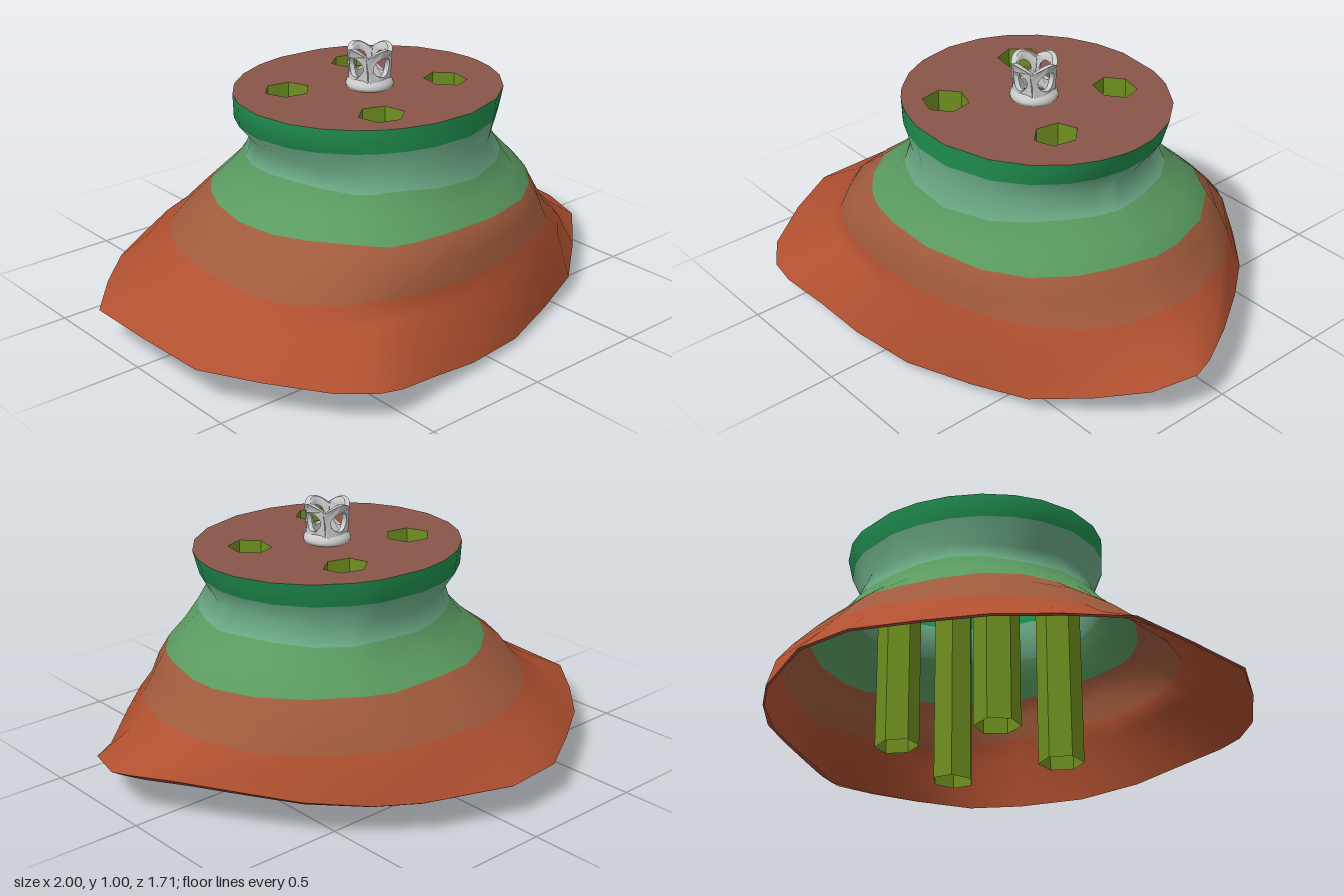
import * as THREE from 'three';
import { toCreasedNormals } from 'three/addons/utils/BufferGeometryUtils.js';

const CX = 0.045, CZ = 0.05;

// Uneven outer edge of the skirt: x, z, y
const RIM = [
  [-0.03, -0.86, 0.14], [-0.27, -0.84, 0.14], [-0.48, -0.72, 0.14], [-0.68, -0.59, 0.14],
  [-0.85, -0.42, 0.14], [-1, -0.24, 0.14], [-1, 0.05, 0.14], [-0.99, 0.35, 0.14],
  [-0.87, 0.56, 0.135], [-0.72, 0.76, 0.125], [-0.6, 0.84, 0.115], [-0.5, 0.85, 0.1],
  [-0.33, 0.82, 0.07], [-0.12, 0.8, 0.04], [0.14, 0.76, 0.03], [0.4, 0.67, 0.04],
  [0.62, 0.59, 0.065], [0.8, 0.45, 0.105], [0.95, 0.31, 0.15], [1, 0.14, 0.165],
  [0.98, 0.06, 0.175], [0.9, -0.1, 0.185], [0.77, -0.3, 0.175], [0.63, -0.48, 0.155],
  [0.45, -0.64, 0.14], [0.3, -0.74, 0.14],
];

// Section levels: y, min x, max x, max z, min z, limit as a share of the rim
// radius, squareness of the bulging corners (front at -x, back at +x)
const LEVELS = [
  [0.24, -0.84, 0.88, 0.71, -0.76, 0.96, 2.6, 2],
  [0.31, -0.73, 0.8, 0.685, -0.69, 0.93, 2.8, 2],
  [0.40, -0.66, 0.73, 0.68, -0.60, 0.89, 2.7, 2.2],
  [0.47, -0.57, 0.69, 0.64, -0.53, 0.87, 2.3, 2.3],
  [0.54, -0.49, 0.62, 0.58, -0.45, 0.84, 2.1, 2.3],
  [0.61, -0.43, 0.54, 0.555, -0.40, 0.8, 2, 2.1],
  [0.68, -0.41, 0.49, 0.525, -0.38, 0.78, 2, 2],
  [0.76, -0.48, 0.54, 0.53, -0.42, 0.8, 2, 2],
  [0.85, -0.48, 0.57, 0.535, -0.43, 0.8, 2, 2],
];

// Hanging tubes: x, z, radius in x, radius in z, bottom y, turn
const TUBES = [
  [-0.225, -0.1, 0.088, 0.085, 0.015, 0.2], [0.19, -0.21, 0.09, 0.076, 0.02, 0.3],
  [0.31, 0.19, 0.077, 0.088, 0.01, -0.3], [-0.14, 0.33, 0.088, 0.086, 0.005, 0.35],
];

const mat = (color, extra = {}) => new THREE.MeshStandardMaterial({ color, side: THREE.DoubleSide, ...extra });

function add(group, name, geometry, material) {
  const mesh = new THREE.Mesh(geometry, material);
  mesh.name = name;
  group.add(mesh);
  return mesh;
}

// One closed ring of points for a level
function section([y, x0, x1, z1, z0, limit, frontCorner, backCorner], j) {
  return RIM.map(([rx, rz], i) => {
    const dx = rx - CX, dz = rz - CZ, R = Math.hypot(dx, dz);
    const c = dx / R, s = dz / R;
    const ax = c < 0 ? CX - x0 : x1 - CX, az = s < 0 ? CZ - z0 : z1 - CZ;
    let p = 2;
    if (c < 0 && s > 0) p = frontCorner;
    if (c > 0 && s < 0) p = backCorner;
    const curve = Math.pow(Math.abs(c / ax) ** p + Math.abs(s / az) ** p, -1 / p);
    const r = Math.min(curve, R * limit);
    const lift = j < 7 ? 0.008 * Math.sin(i * 1.3 + j) : 0;
    return [CX + c * r, y + lift, CZ + s * r];
  });
}

// Hem folded in under the raised part of the rim
function hemPoint([x, z, y]) {
  const rise = Math.max(0, y - 0.135), k = 1 - 1.8 * rise;
  return [CX + (x - CX) * k, y - rise, CZ + (z - CZ) * k];
}

function hexagon([x, z, rx, rz, , turn]) {
  return Array.from({ length: 6 }, (_, k) => {
    const a = turn + k * Math.PI / 3;
    return [x + rx * Math.cos(a), z + rz * Math.sin(a)];
  });
}

// Index of the wall between rings of equal length
function band(n, from, to) {
  const index = [];
  for (let j = from; j < to; j++) {
    for (let i = 0; i < n; i++) {
      const k = (i + 1) % n, a = j * n + i, b = j * n + k;
      index.push(a, b, b + n, a, b + n, a + n);
    }
  }
  return index;
}

// Quarter of the hollow fitting: a plate with a round eye, bent round an axis
function fittingPanel() {
  const R = 0.07, half = R * Math.PI / 4, shape = new THREE.Shape();
  const pts = [];
  for (let i = 0; i <= 8; i++) pts.push(new THREE.Vector2(-half + i * half / 4, 0));
  for (let v = 1; v < 6; v++) pts.push(new THREE.Vector2(half, v * 0.02));
  for (let i = 16; i >= 0; i--) {
    const u = i / 8 - 1;
    pts.push(new THREE.Vector2(u * half, 0.125 + 0.029 * Math.cos(u * Math.PI / 2)));
  }
  for (let v = 5; v > 0; v--) pts.push(new THREE.Vector2(-half, v * 0.02));
  shape.setFromPoints(pts);
  shape.holes.push(new THREE.Path().absarc(0, 0.085, 0.037, 0, Math.PI * 2, true));
  const geo = new THREE.ExtrudeGeometry(shape, { depth: 0.018, bevelEnabled: false, curveSegments: 16 });
  const p = geo.attributes.position;
  for (let i = 0; i < p.count; i++) {
    const a = p.getX(i) / R, y = p.getY(i);
    const flare = 0.013 * Math.pow(Math.abs(y - 0.06) / 0.08, 1.5);
    const r = 0.056 + flare + p.getZ(i);
    p.setXYZ(i, r * Math.sin(a), y, r * Math.cos(a));
  }
  geo.computeVertexNormals();
  return toCreasedNormals(geo, 0.7);
}

export function createModel() {
  const model = new THREE.Group();
  model.name = 'flaredBase';

  // Flared skirt and collar share one smooth surface, coloured in bands
  const rings = [RIM.map(([x, z, y]) => [x, y, z]), ...LEVELS.map(section)];
  const n = RIM.length, wall = new THREE.BufferGeometry();
  wall.setAttribute('position', new THREE.Float32BufferAttribute(rings.flat(2), 3));
  wall.setIndex(band(n, 0, rings.length - 1));
  wall.computeVertexNormals();
  const bands = [
    ['skirtRim', 0, 2, 0xb05030], ['skirtSide', 2, 4, 0xa05a3c],
    ['shoulder', 4, 6, 0x5a9a60], ['neck', 6, 8, 0x6aa884], ['collar', 8, 9, 0x209050],
  ];
  for (const [name, from, to, color] of bands) {
    const part = wall.clone();
    part.setIndex(band(n, from, to));
    add(model, name, part, mat(color));
  }

  // Folded hem
  const hem = new THREE.BufferGeometry();
  const hemRings = [RIM.map(hemPoint), rings[0]];
  hem.setAttribute('position', new THREE.Float32BufferAttribute(hemRings.flat(2), 3));
  hem.setIndex(band(n, 0, 1));
  hem.computeVertexNormals();
  add(model, 'skirtHem', hem, mat(0x9a4a38));

  // Top plate with a hole over each tube
  const toVec = ([x, z]) => new THREE.Vector2(x, -z);
  const plate = new THREE.Shape(rings[rings.length - 1].map(([x, , z]) => toVec([x, z])));
  for (const tube of TUBES) plate.holes.push(new THREE.Path(hexagon(tube).map(toVec)));
  const plateGeo = new THREE.ShapeGeometry(plate).rotateX(-Math.PI / 2).translate(0, 0.85, 0);
  add(model, 'topPlate', plateGeo, mat(0x8a5548));

  // Open six-sided tubes hanging from the plate
  const tubeMat = mat(0x6f9020, { flatShading: true });
  for (const tube of TUBES) {
    const hex = hexagon(tube).reverse();
    const geo = new THREE.BufferGeometry();
    const pos = [tube[4], 0.85].flatMap(y => hex.flatMap(([x, z]) => [x, y, z]));
    geo.setAttribute('position', new THREE.Float32BufferAttribute(pos, 3));
    geo.setIndex(band(6, 0, 1));
    geo.computeVertexNormals();
    add(model, 'tube', geo, tubeMat);
  }

  // Hollow fitting with four eyes and a foot ring
  const fitting = new THREE.Group();
  fitting.name = 'topFitting';
  fitting.position.set(0.042, 0.85, 0.06);
  const grey = mat(0xcccccc), panel = fittingPanel();
  for (let k = 0; k < 4; k++) add(fitting, 'eyePanel', panel, grey).rotation.y = k * Math.PI / 2;
  const profile = [[0.062, 0], [0.088, 0], [0.09, 0.012], [0.086, 0.024], [0.073, 0.038]];
  const foot = new THREE.LatheGeometry(profile.map(([r, y]) => new THREE.Vector2(r, y)), 32);
  add(fitting, 'footRing', foot, grey);
  model.add(fitting);

  return model;
}
